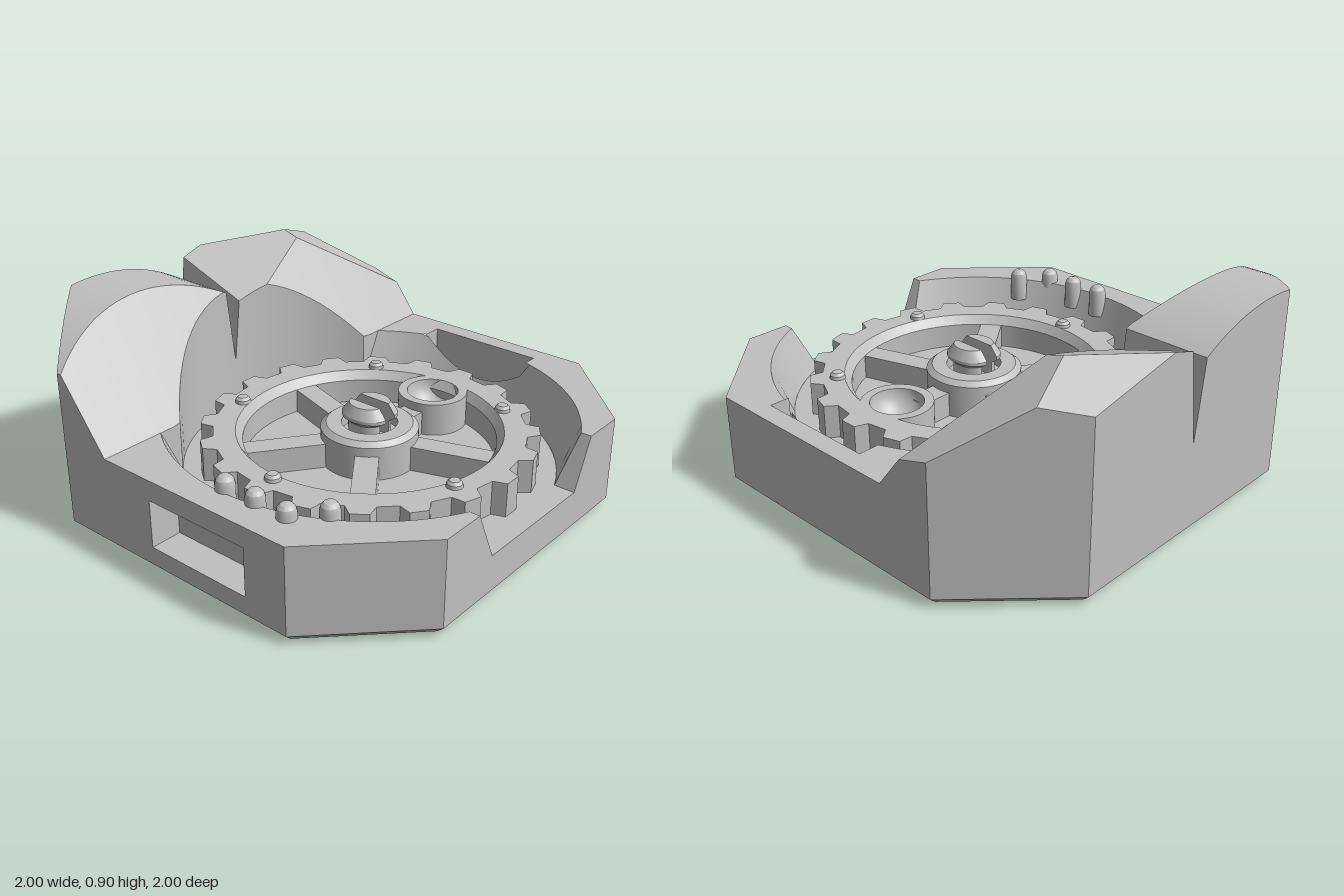
import * as THREE from 'three';
import { toCreasedNormals } from 'three/addons/utils/BufferGeometryUtils.js';

const CZ = 0.17, R = 0.796, RIM = 0.88;      // pocket centre, floor radius, rim radius
const FLOOR = 0.2, TOP = 0.42, HILL = -0.35; // levels, foot of the hills
const V = (x, y, z) => new THREE.Vector3(x, y, z);

// Collects flat polygons; n is the rough outward direction.
function makeSoup() {
  const pos = [];
  return {
    face(pts, n, holes = []) {
      const ax = Math.abs(n.x), ay = Math.abs(n.y), az = Math.abs(n.z);
      const flat = p => ax >= ay && ax >= az ? new THREE.Vector2(p.z, p.y)
        : ay >= az ? new THREE.Vector2(p.x, p.z) : new THREE.Vector2(p.x, p.y);
      const all = [...pts, ...holes.flat()];
      const tris = THREE.ShapeUtils.triangulateShape(pts.map(flat), holes.map(h => h.map(flat)));
      for (const t of tris) {
        const [a, b, c] = t.map(i => all[i]);
        const out = b.clone().sub(a).cross(c.clone().sub(a)).dot(n) >= 0;
        for (const p of out ? [a, b, c] : [a, c, b]) pos.push(p.x, p.y, p.z);
      }
    },
    geometry() {
      const g = new THREE.BufferGeometry();
      g.setAttribute('position', new THREE.Float32BufferAttribute(pos, 3));
      return toCreasedNormals(g, 0.15);
    }
  };
}

// Keeps the part of a footprint where f >= 0.
function clip(poly, f) {
  const out = [];
  poly.forEach((p, i) => {
    const q = poly[(i + 1) % poly.length], a = f(p), b = f(q);
    if (a >= 0) out.push(p);
    if ((a > 0 && b < 0) || (a < 0 && b > 0)) out.push(p.map((v, k) => v + (q[k] - v) * a / (a - b)));
  });
  return out;
}

// Hill made of strips in x; its top is the lowest of the planes y = a x + b z + c.
function hillGeometry(xStart, xEnd, planesFor) {
  const soup = makeSoup(), N = 25;
  const front = x => Math.abs(x) < 0.601 ? Math.min(HILL, CZ - Math.sqrt(R * R - x * x)) : HILL;
  const back = x => Math.max(-1, Math.abs(x) - 1.6) === -1 ? -1 : -1.6 + Math.abs(x) > -1 ? -(1.6 - Math.abs(x)) : -1;
  for (let i = 0; i < N; i++) {
    const x0 = xStart + (xEnd - xStart) * i / N, x1 = xStart + (xEnd - xStart) * (i + 1) / N;
    const lerp = (f, x) => f(x0) + (f(x1) - f(x0)) * (x - x0) / (x1 - x0);
    const planes = planesFor(x0, x1);
    const h = (p, [x, z]) => p[0] * x + p[1] * z + p[2];
    planes.forEach((p, k) => {
      let poly = [[x0, back(x0)], [x1, back(x1)], [x1, front(x1)], [x0, front(x0)]];
      planes.forEach((q, j) => { if (j !== k) poly = clip(poly, s => h(q, s) - h(p, s)); });
      if (poly.length < 3) return;
      const top = poly.map(s => V(s[0], h(p, s), s[1]));
      const steep = Math.abs(p[0]) > 3;
      soup.face(top, steep ? V(-p[0], 1, -p[1]) : V(-p[0] * 0.1, 1, -p[1] * 0.1));
      top.forEach((a, m) => {
        const b = top[(m + 1) % top.length];
        const on = f => [a, b].every(v => Math.abs(v.z - lerp(f, v.x)) < 1e-6);
        const end = Math.abs(a.x) > 0.999 && Math.abs(b.x) > 0.999;
        if (!end && Math.abs(a.x - b.x) < 1e-6) return;
        const sign = on(front) ? 1 : on(back) ? -1 : 0;
        if (!sign && !end) return;
        const n = end ? V(a.x, 0, 0) : V(a.z - b.z, 0, b.x - a.x);
        if (!end && n.z * sign < 0) n.negate();
        soup.face([a, b, V(b.x, 0.04, b.z), V(a.x, 0.04, a.z)], n);
      });
    });
  }
  return soup.geometry();
}

// Octagonal base with a flared round pocket, front notch, side window and top slot.
function baseGeometry() {
  const soup = makeSoup(), up = V(0, 1, 0);
  const oct = (w, c, y) => [[w, c], [c, w], [-c, w], [-w, c], [-w, -c], [-c, -w], [c, -w], [w, -c]].map(([x, z]) => V(x, y, z));
  const lo = oct(0.96, 0.583, 0), hi = oct(1, 0.6, 0.04);
  soup.face(lo, V(0, -1, 0));
  lo.forEach((p, i) => {
    const j = (i + 1) % 8, m = hi[i].clone().add(hi[j]).setY(-0.8);
    soup.face([p, lo[j], hi[j], hi[i]], m);
  });
  // front wall with notch
  soup.face([[-0.6, 0.04], [0.6, 0.04], [0.6, TOP], [0.4, TOP], [0.3, FLOOR], [-0.3, FLOOR], [-0.4, TOP], [-0.6, TOP]]
    .map(([x, y]) => V(x, y, 1)), V(0, 0, 1));
  // rectangle on a plane of constant x
  const sideRect = (x, z0, z1, y0, y1) => [V(x, y0, z0), V(x, y0, z1), V(x, y1, z1), V(x, y1, z0)];
  // five inner faces of a box-shaped recess; open names the missing side
  const recess = (x0, x1, y0, y1, z0, z1, open) => {
    const c = V((x0 + x1) / 2, (y0 + y1) / 2, (z0 + z1) / 2), s = V(x1 - x0, y1 - y0, z1 - z0);
    for (const [k, u, v] of [['x', 'y', 'z'], ['y', 'x', 'z'], ['z', 'x', 'y']]) for (const d of [-1, 1]) {
      if (open.includes((d > 0 ? '+' : '-') + k)) continue;
      const pts = [[-1, -1], [1, -1], [1, 1], [-1, 1]].map(([a, b]) => {
        const p = c.clone();
        p[k] += d * s[k] / 2; p[u] += a * s[u] / 2; p[v] += b * s[v] / 2;
        return p;
      });
      const n = V(0, 0, 0); n[k] = -d;
      soup.face(pts, n);
    }
  };
  const slot = { x0: 0.825, x1: 0.915, z0: -0.14, z1: 0.41, y: 0.22 };
  recess(-1, -0.86, 0.12, 0.33, -0.1, 0.4, ['-x']);
  recess(slot.x0, slot.x1, slot.y, TOP, slot.z0, slot.z1, ['+y', '-x']);
  for (const s of [-1, 1]) {
    // side and corner walls
    soup.face(sideRect(s, HILL, 0.6, 0.04, TOP), V(s, 0, 0), s < 0 ? [sideRect(-1, -0.1, 0.4, 0.12, 0.33)] : []);
    soup.face([V(s, 0.04, 0.6), V(s * 0.6, 0.04, 1), V(s * 0.6, TOP, 1), V(s, TOP, 0.6)], V(s, 0, 1));
    // flared pocket wall from the hill round to the notch
    const N = 48, low = [], high = [], cut = [];
    const ang = (r, xn, t) => { const a = Math.asin((HILL - CZ) / r); return a + (Math.acos(xn / r) - a) * t; };
    const at = (r, a) => V(s * r * Math.cos(a), FLOOR + (r - R) / (RIM - R) * (TOP - FLOOR), CZ + r * Math.sin(a));
    for (let i = 0; i <= N; i++) {
      const a = ang(RIM, 0.4, i / N), z = CZ + RIM * Math.sin(a);
      const inSlot = s > 0 && z > slot.z0 && z < slot.z1;
      cut.push(inSlot);
      low.push(at(R, ang(R, 0.3, i / N)));
      high.push(at(inSlot ? Math.min(RIM, slot.x0 / Math.cos(a)) : RIM, a));
    }
    for (let i = 0; i < N; i++) {
      soup.face([low[i], low[i + 1], high[i + 1], high[i]], V(-low[i].x, 0.3, CZ - low[i].z));
      if (cut[i] && cut[i + 1]) soup.face([high[i], high[i + 1], high[i + 1].clone().setY(slot.y), high[i].clone().setY(slot.y)], V(1, 0, 0));
    }
    // flat rim, going round the slot
    const arc = high.filter((p, i) => !cut[i]);
    if (s > 0) arc.splice(cut.indexOf(true), 0, ...[[slot.x0, slot.z0], [slot.x1, slot.z0], [slot.x1, slot.z1], [0.846, slot.z1]].map(([x, z]) => V(x, TOP, z)));
    soup.face([...arc, V(s * 0.4, TOP, 1), V(s * 0.6, TOP, 1), V(s, TOP, 0.6), V(s, TOP, HILL)], up);
    // notch cheek
    soup.face([low[N], V(s * 0.3, FLOOR, 1), V(s * 0.4, TOP, 1), high[N]], V(-s, 0.45, 0));
  }
  // pocket floor
  const a1 = Math.acos(0.3 / R), floor = [];
  for (let i = 0; i <= 64; i++) {
    const a = Math.PI - a1 + (Math.PI + 2 * a1) * i / 64;
    floor.push(V(R * Math.cos(a), FLOOR, CZ + R * Math.sin(a)));
  }
  soup.face([...floor, V(0.3, FLOOR, 1), V(-0.3, FLOOR, 1)], up);
  return soup.geometry();
}

export function createModel() {
  const model = new THREE.Group();
  const grey = new THREE.MeshStandardMaterial({ color: 0xc0c0c0 });
  const greyOpen = grey;
  greyOpen.name = 'grey';
  const add = (parent, name, geo, x = 0, y = 0, z = 0) => {
    const m = new THREE.Mesh(geo, grey);
    m.name = name; m.position.set(x, y, z);
    parent.add(m);
    return m;
  };
  const lathe = (pts, seg = 48, start = 0, len = Math.PI * 2) =>
    toCreasedNormals(new THREE.LatheGeometry(pts.map(p => new THREE.Vector2(...p)), seg, start, len), 0.4);
  const slab = (shape, depth) => toCreasedNormals(
    new THREE.ExtrudeGeometry(shape, { depth, bevelEnabled: false, curveSegments: 32 }).rotateX(-Math.PI / 2), 0.3);
  const hole = r => new THREE.Path().absarc(0, 0, r, 0, Math.PI * 2, true);

  add(model, 'base', baseGeometry());

  // Hills share one sloping front and a V-shaped slit between them
  const slope = [0, -1.3, TOP + 1.3 * HILL];
  const dome = x => -0.02 + Math.sqrt(0.81 - (x + 0.48) ** 2);
  add(model, 'roundHill', hillGeometry(-1, 0, (x0, x1) => {
    const a = (dome(x1) - dome(x0)) / (x1 - x0);
    return [slope, [a, 0, dome(x0) - a * x0], [-7.8, 0, TOP]];
  }));
  const throughPeak = (a, b) => [a, b, 0.898 - a * 0.508 + b * 0.778];
  const facets = [slope, throughPeak(0.306, -0.3125), throughPeak(-0.192, 0.468), throughPeak(-0.475, -0.3125), [8.2, 0, TOP]];
  add(model, 'facetedHill', hillGeometry(0, 1, () => facets));

  // Round-topped pegs on the rim
  for (const [x, z] of [[-0.855, 0.17], [-0.855, 0.325], [-0.855, 0.48], [-0.745, 0.59]])
    add(model, 'peg', lathe([[0.04, 0], [0.04, 0.115], [0.035, 0.135], [0.023, 0.148], [0, 0.155]], 20), x, 0.33, z);

  // Gear wheel
  const wheel = new THREE.Group();
  wheel.name = 'gearWheel';
  wheel.position.set(0, FLOOR, CZ);
  model.add(wheel);
  const teeth = 20, outline = [];
  for (let i = 0; i < teeth; i++)
    for (const [f, r] of [[-0.29, 0.665], [-0.17, 0.72], [0.17, 0.72], [0.29, 0.665]]) {
      const a = Math.PI / 2 + (i + f) / teeth * Math.PI * 2;
      outline.push(new THREE.Vector2(r * Math.cos(a), r * Math.sin(a)));
    }
  const rim = new THREE.Shape(outline);
  rim.holes.push(hole(0.57));
  add(wheel, 'toothedRim', slab(rim, 0.15));
  add(wheel, 'rimInnerBevel', lathe([[0.57, 0.15], [0.54, 0.11], [0.54, 0]], 64));
  for (let i = 0; i < 5; i++) {
    const a = i * Math.PI * 0.4, b = a + Math.PI / 5, len = i ? 0.4 : 0.2;
    const r = 0.15 + len / 2;
    add(wheel, 'spoke', new THREE.BoxGeometry(len, 0.11, 0.1), r * Math.cos(a), 0.055, -r * Math.sin(a)).rotation.y = a;
    add(wheel, 'rimStud', lathe([[0.035, 0], [0.033, 0.015], [0.022, 0.027], [0, 0.03]], 16), 0.6 * Math.cos(b), 0.15, -0.6 * Math.sin(b));
  }

  // Finger bowl
  const boss = new THREE.Shape().absarc(0, 0, 0.155, 0, Math.PI * 2);
  boss.holes.push(hole(0.115));
  add(wheel, 'bowlRing', slab(boss, 0.15), 0.455);
  const bowl = [];
  for (let i = 0; i <= 12; i++) {
    const a = i / 12 * Math.PI / 2;
    bowl.push([0.115 * Math.cos(a), 0.15 - 0.115 * Math.sin(a)]);
  }
  add(wheel, 'bowl', lathe(bowl), 0.455);

  // Hub and split snap pin
  add(wheel, 'hub', lathe([[0.21, 0], [0.21, 0.15], [0.185, 0.17], [0.12, 0.17], [0.12, 0.12], [0, 0.12]]));
  const pin = [[0, 0.12], [0.08, 0.12], [0.08, 0.185], [0.11, 0.205], [0.11, 0.22], [0.075, 0.265], [0, 0.265]];
  const half = pin.map(([r, y]) => [Math.max(0, r), y]);
  const cheek = new THREE.Shape([...pin.slice(1, 6), ...pin.slice(1, 6).reverse().map(([r, y]) => [-r, y])].map(p => new THREE.Vector2(...p)));
  for (const s of [-1, 1]) {
    const side = new THREE.Group();
    side.name = 'pinHalf';
    side.position.x = s * 0.03;
    side.scale.set(0.73, 1, 1);
    side.rotation.y = s < 0 ? Math.PI : 0;
    wheel.add(side);
    add(side, 'pinShell', lathe(half, 24, 0, Math.PI));
    add(side, 'pinCheek', new THREE.ShapeGeometry(cheek)).rotation.y = -Math.PI / 2;
  }
  return model;
}
